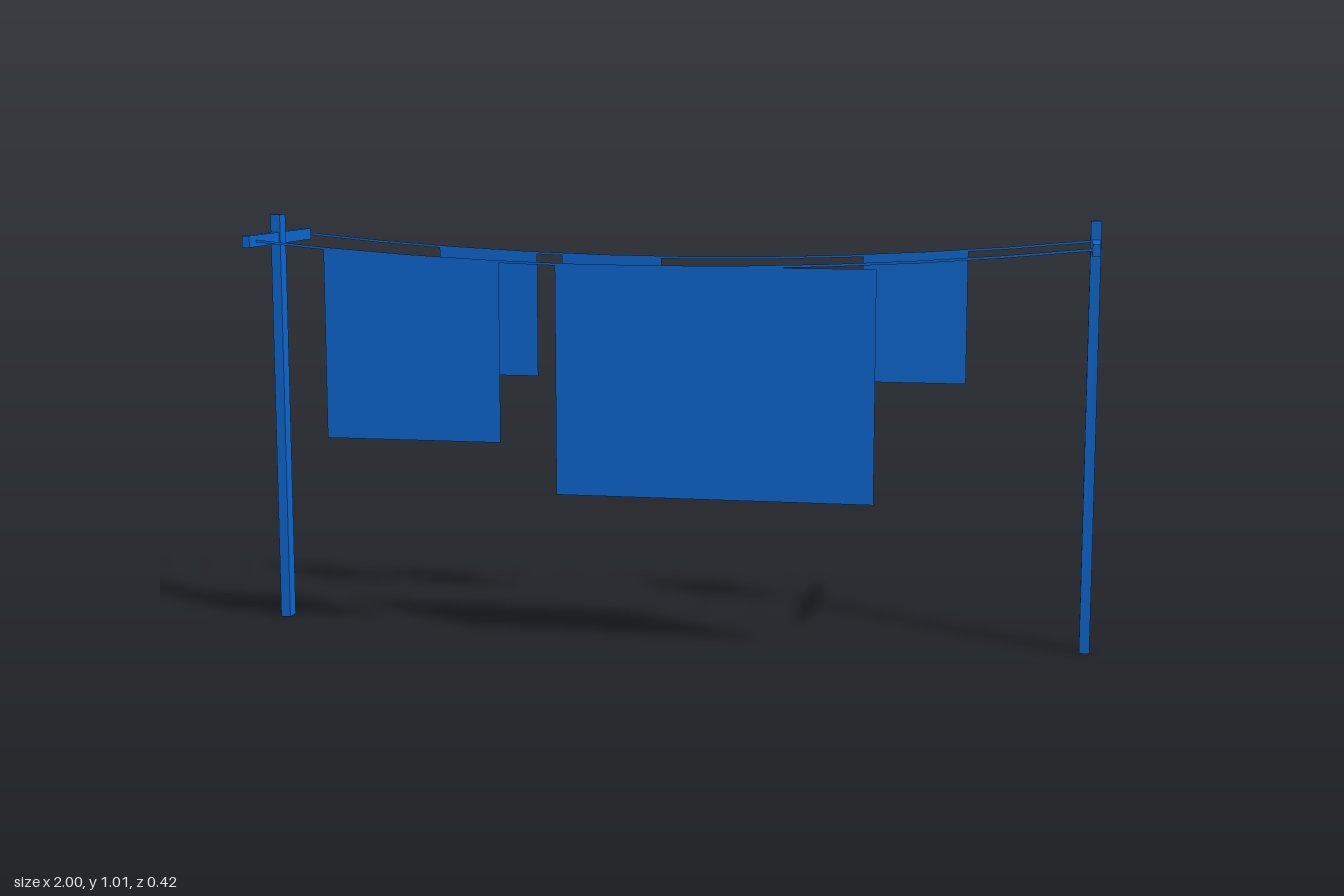
import * as THREE from 'three';

const material = new THREE.MeshStandardMaterial({ color: 0x0d68d2, flatShading: true, side: THREE.DoubleSide });

// Height of a sagging line at x
const lineY = (x) => 0.903 + 0.052 * x * x;

// Flat vertical sheet between a top and a bottom curve
function sheet(name, x0, x1, z, top, bottom, steps) {
  const xs = Array.from({ length: steps + 1 }, (_, i) => x0 + ((x1 - x0) * i) / steps);
  const points = [
    ...xs.map((x) => new THREE.Vector2(x, bottom(x))),
    ...xs.reverse().map((x) => new THREE.Vector2(x, top(x))),
  ];
  const mesh = new THREE.Mesh(new THREE.ShapeGeometry(new THREE.Shape(points)), material);
  mesh.name = name;
  mesh.position.z = z;
  return mesh;
}

function box(name, size, position) {
  const mesh = new THREE.Mesh(new THREE.BoxGeometry(...size), material);
  mesh.name = name;
  mesh.position.set(...position);
  return mesh;
}

export function createModel() {
  const group = new THREE.Group();
  group.name = 'clothesline';
  const frontZ = 0.165;
  const backZ = -0.195;

  // Posts with their crossbars, set slightly off centre
  for (const [side, x, barZ] of [['right', -0.988, 0.004], ['left', 0.988, -0.007]]) {
    group.add(box(`${side}Post`, [0.024, 1.01, 0.037], [x, 0.505, 0]));
    group.add(box(`${side}Crossbar`, [0.018, 0.028, 0.405], [x, 0.953, barZ]));
  }

  // Thin sagging lines
  for (const [name, z] of [['frontLine', frontZ], ['backLine', backZ]]) {
    group.add(sheet(name, -0.988, 0.988, z, (x) => lineY(x) + 0.003, (x) => lineY(x) - 0.003, 10));
  }

  // Hanging laundry: x range, bottom height, highest top edge
  const laundry = [
    ['towel', -0.81, -0.38, frontZ, 0.483, 1],
    ['bedSheet', -0.245, 0.503, frontZ, 0.363, 0.904],
    ['clothA', -0.635, -0.381, backZ, 0.6, 1],
    ['clothB', -0.317, -0.063, backZ, 0.59, 1],
    ['clothC', 0.437, 0.69, backZ, 0.604, 1],
  ];
  for (const [name, x0, x1, z, bottom, cap] of laundry) {
    group.add(sheet(name, x0, x1, z, (x) => Math.min(lineY(x), cap), () => bottom, 4));
  }
  return group;
}
